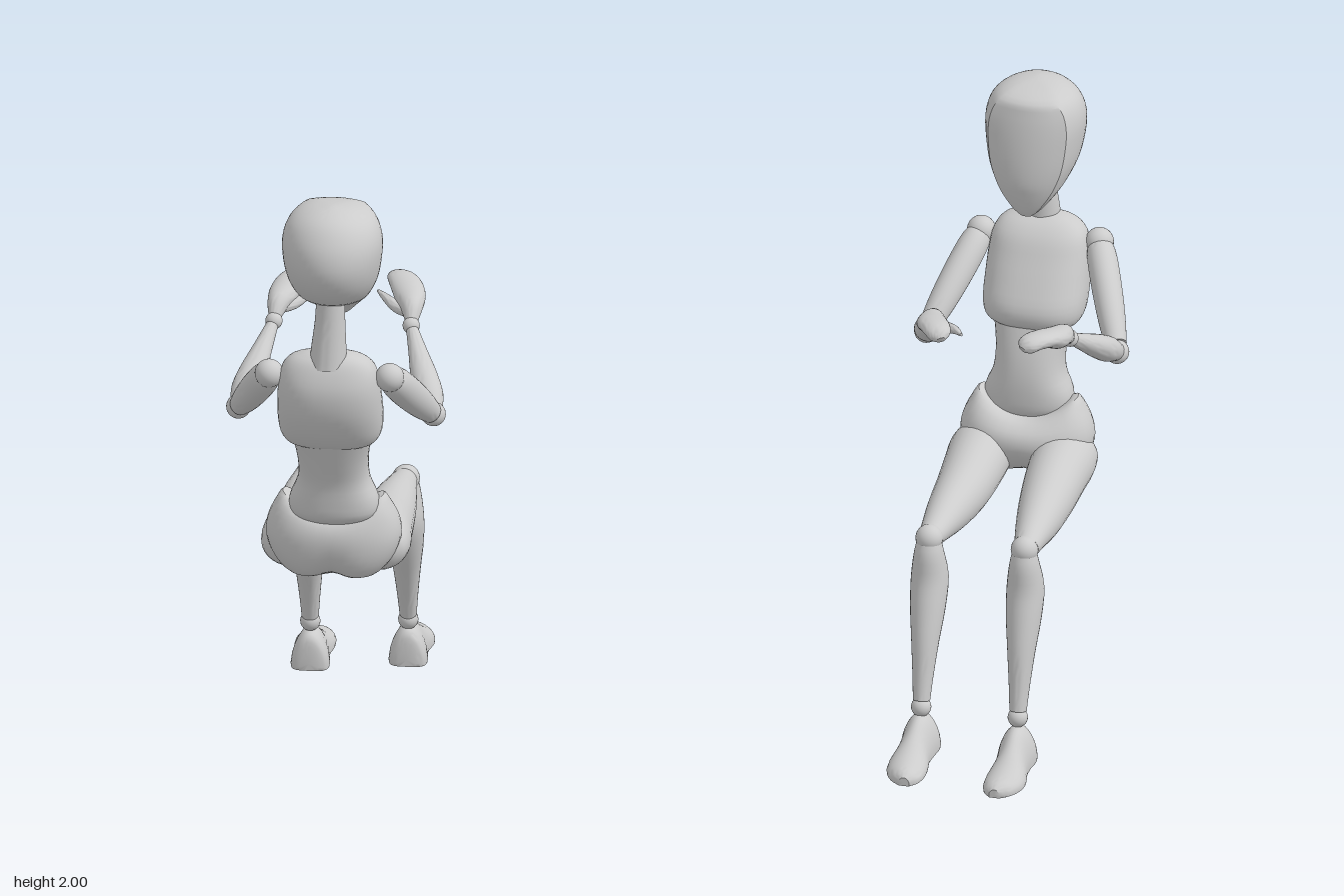
import * as THREE from 'three';
import { mergeVertices, toCreasedNormals } from 'three/addons/utils/BufferGeometryUtils.js';

const V = (x, y, z) => new THREE.Vector3(x, y, z);
const material = new THREE.MeshStandardMaterial({ color: 0xcccccc });
const SIDES = 28;

// Smooth closed skin through a list of rings; each column follows a spline
function skin(name, rings, crease = 0.75, steps = 3) {
  const n = rings[0].length;
  const rows = (rings.length - 1) * steps;
  const columns = [];
  for (let j = 0; j < n; j++) {
    const curve = new THREE.CatmullRomCurve3(rings.map((r) => r[j]), false, 'centripetal');
    columns.push(curve.getPoints(rows));
  }
  const pos = [];
  const index = [];
  for (let i = 0; i <= rows; i++) for (let j = 0; j < n; j++) pos.push(...columns[j][i].toArray());
  for (let i = 0; i < rows; i++) {
    for (let j = 0; j < n; j++) {
      const a = i * n + j, b = i * n + (j + 1) % n;
      index.push(a, b, b + n, a, b + n, a + n);
    }
  }
  // End caps
  for (const row of [0, rows]) {
    const mid = V(0, 0, 0);
    columns.forEach((c) => mid.addScaledVector(c[row], 1 / n));
    const m = pos.length / 3;
    pos.push(...mid.toArray());
    for (let j = 0; j < n; j++) {
      const a = row * n + j, b = row * n + (j + 1) % n;
      if (row === 0) index.push(m, b, a);
      else index.push(m, a, b);
    }
  }
  const geo = new THREE.BufferGeometry();
  geo.setAttribute('position', new THREE.Float32BufferAttribute(pos, 3));
  geo.setIndex(index);
  const mesh = new THREE.Mesh(toCreasedNormals(mergeVertices(geo, 1e-5), crease), material);
  mesh.name = name;
  return mesh;
}

// Rounded limb: points are [x, y, z, radius across, radius in depth]
function limb(name, pts) {
  const p = pts.map((q) => V(q[0], q[1], q[2]));
  const rings = pts.map((q, i) => {
    const t = p[Math.min(i + 1, p.length - 1)].clone().sub(p[Math.max(i - 1, 0)]).normalize();
    const a = V(1, 0, 0).addScaledVector(t, -t.x).normalize();
    const b = t.clone().cross(a);
    return Array.from({ length: SIDES }, (_, j) => {
      const u = (j / SIDES) * Math.PI * 2;
      return p[i].clone().addScaledVector(a, q[3] * Math.cos(u)).addScaledVector(b, q[4] * Math.sin(u));
    });
  });
  return skin(name, rings);
}

// Limb between two joints: profile is [t, radius across, radius in depth]
const bone = (name, A, B, profile) => limb(name, profile.map(([t, ra, rb]) =>
  [...A.clone().lerp(B, t).toArray(), ra, rb]));

// Body block from level slices: [y, back z, front z, half width]
function slices(name, list, { power = 2, cx = 0, warp } = {}) {
  const bend = (c) => Math.sign(c) * Math.pow(Math.abs(c), 2 / power);
  return skin(name, list.map(([y, zb, zf, w]) => Array.from({ length: 40 }, (_, j) => {
    const u = (j / 40) * Math.PI * 2;
    const v = V(cx + w * bend(Math.sin(u)), y, (zb + zf) / 2 + ((zb - zf) / 2) * bend(Math.cos(u)));
    if (warp) warp(v);
    return v;
  })));
}

function ball(name, c, r) {
  const mesh = new THREE.Mesh(new THREE.SphereGeometry(r, 24, 16), material);
  mesh.name = name;
  mesh.position.copy(c);
  return mesh;
}

// Head: round cranium with a flat, sharply edged face plate
function head() {
  const list = [
    [1.565, 0.41, 0.385, 0.018], [1.585, 0.45, 0.375, 0.045], [1.615, 0.49, 0.366, 0.072],
    [1.65, 0.55, 0.358, 0.1], [1.685, 0.63, 0.352, 0.122], [1.74, 0.685, 0.353, 0.146],
    [1.81, 0.713, 0.361, 0.16], [1.88, 0.706, 0.373, 0.163], [1.935, 0.677, 0.386, 0.147],
    [1.968, 0.645, 0.398, 0.118], [1.99, 0.6, 0.46, 0.07], [2.0, 0.56, 0.53, 0.012],
  ];
  return skin('head', list.map(([y, zb, zf, w]) => {
    const ring = [];
    const depth = zb - zf, mid = zf + depth * 0.45, corner = zf + depth * 0.1;
    const fw = w * 0.8;
    for (let j = 0; j <= 28; j++) {
      const u = -Math.PI * 0.5 + (j / 28) * Math.PI;
      ring.push(V(0.013 + w * Math.sin(u), y, mid + (zb - mid) * Math.cos(u)));
    }
    for (let j = 1; j <= 4; j++) { // cheek
      const k = j / 4;
      ring.push(V(0.013 + w + (fw - w) * k * k, y, mid + (corner - mid) * k));
    }
    for (let j = 1; j < 8; j++) { // face plate
      const f = 1 - j / 4;
      ring.push(V(0.013 + fw * f, y, zf + (corner - zf) * f * f));
    }
    for (let j = 4; j >= 1; j--) {
      const k = j / 4;
      ring.push(V(0.013 - w - (fw - w) * k * k, y, mid + (corner - mid) * k));
    }
    return ring;
  }), 0.6);
}

// Foot: domed sections over a flat sole, [z offset from ankle, height, half width, x shift]
function foot(s, ankle, ground) {
  const list = [
    [0.045, 0.05, 0.03, 0], [0.035, 0.1, 0.055, 0], [0, 0.118, 0.064, 0], [-0.05, 0.115, 0.058, 0],
    [-0.1, 0.09, 0.056, 0.002], [-0.16, 0.058, 0.066, 0.003], [-0.21, 0.04, 0.062, 0],
    [-0.25, 0.03, 0.044, -0.006], [-0.272, 0.018, 0.018, -0.01],
  ];
  return skin('foot', list.map(([dz, h, w, dx]) => Array.from({ length: SIDES }, (_, j) => {
    const u = (j / SIDES) * Math.PI * 2, c = Math.cos(u);
    return V(ankle.x + s * dx + w * Math.sin(u) * (c > 0 ? 1 - 0.25 * c : 1), ground + h * Math.max(0, c) ** 0.8
      + (c > 0 ? 0.012 : 0.012 * (1 + Math.max(-1, c * 4))), ankle.z + dz);
  })), 0.7);
}

function leg(s, knee, ankle, ground) {
  const g = new THREE.Group();
  g.name = s > 0 ? 'leftLeg' : 'rightLeg';
  g.add(limb('thigh', [
    [0.15, 0.735, 0.4, 0.04, 0.03], [0.148, 0.735, 0.375, 0.083, 0.068], [0.14, 0.735, 0.3, 0.104, 0.096],
    [0.138, 0.728, 0.2, 0.1, 0.102], [0.142, 0.714, 0.05, 0.088, 0.093], [0.15, 0.714, -0.1, 0.071, 0.076],
    [0.156, 0.717, -0.22, 0.052, 0.052], [0.16, 0.717, -0.29, 0.04, 0.038],
  ].map(([x, ...r]) => [s * x, ...r])));
  g.add(ball('knee', knee, 0.045));
  // Calf bulges backwards from the knee to ankle line
  g.add(limb('shin', [
    [0, 0.038, 0.038, 0], [0.08, 0.048, 0.05, 0.005], [0.25, 0.061, 0.068, 0.035], [0.42, 0.058, 0.066, 0.028],
    [0.62, 0.045, 0.054, 0.012], [0.82, 0.034, 0.038, 0.004], [0.96, 0.028, 0.03, 0],
  ].map(([t, ra, rb, dz]) => {
    const p = knee.clone().lerp(ankle, t);
    return [p.x, p.y, p.z + dz, ra, rb];
  })));
  g.add(ball('ankle', ankle, 0.033), foot(s, ankle, ground));
  return g;
}

function arm(s, shoulder, elbow, wrist, tip) {
  const g = new THREE.Group();
  g.name = s > 0 ? 'leftArm' : 'rightArm';
  g.add(ball('shoulder', shoulder, 0.047), ball('elbow', elbow, 0.04), ball('wrist', wrist, 0.028));
  g.add(bone('upperArm', shoulder, elbow,
    [[0, 0.036, 0.036], [0.1, 0.047, 0.05], [0.35, 0.05, 0.056], [0.7, 0.045, 0.05], [0.93, 0.036, 0.038]]));
  g.add(bone('forearm', elbow, wrist,
    [[0.04, 0.034, 0.032], [0.2, 0.047, 0.042], [0.4, 0.045, 0.04], [0.7, 0.031, 0.029], [0.95, 0.02, 0.02]]));
  // Mitten hand, arched over the fingers
  g.add(limb('hand', [
    [0, 0, 0.016, 0.018], [0.2, 0.022, 0.034, 0.034], [0.45, 0.02, 0.05, 0.036], [0.65, 0.024, 0.052, 0.03],
    [0.85, 0.018, 0.045, 0.026], [0.97, 0.003, 0.034, 0.022], [1.02, -0.008, 0.016, 0.012],
  ].map(([t, dy, ra, rb]) => {
    const p = wrist.clone().lerp(tip, t);
    return [p.x + s * 0.02 * Math.sin(t * Math.PI), p.y + dy, p.z, ra, rb];
  })));
  g.add(limb('thumb', [[-0.012, 0.025, -0.04, 0.014, 0.016], [-0.055, 0.03, -0.08, 0.02, 0.018],
    [-0.095, 0.045, -0.12, 0.014, 0.013], [-0.125, 0.052, -0.16, 0.005, 0.005],
  ].map(([x, y, z, a, b]) => [wrist.x + s * x, wrist.y + y, wrist.z + z, a, b])));
  return g;
}

export function createModel() {
  const model = new THREE.Group();
  model.name = 'seatedMannequin';
  model.add(head());
  model.add(limb('neck', [[0.005, 1.45, 0.58, 0.062, 0.06], [0.007, 1.52, 0.574, 0.057, 0.055],
    [0.01, 1.6, 0.568, 0.05, 0.05], [0.011, 1.68, 0.563, 0.046, 0.048]]));
  model.add(slices('chest', [
    [1.15, 0.55, 0.4, 0.115], [1.158, 0.572, 0.37, 0.142], [1.185, 0.597, 0.345, 0.162],
    [1.23, 0.625, 0.342, 0.17], [1.3, 0.652, 0.375, 0.17], [1.38, 0.658, 0.42, 0.165],
    [1.44, 0.64, 0.455, 0.152], [1.475, 0.62, 0.49, 0.122], [1.495, 0.595, 0.525, 0.07],
  ], { power: 2.5, cx: 0.004 }));
  model.add(slices('waist', [
    [0.85, 0.47, 0.33, 0.11], [0.88, 0.497, 0.312, 0.143], [0.93, 0.505, 0.308, 0.145],
    [1.0, 0.513, 0.312, 0.118], [1.08, 0.542, 0.33, 0.115], [1.19, 0.585, 0.37, 0.135],
  ], { power: 2.3, cx: 0.006 }));
  // Pelvis: top rim dips at the middle, with a shallow cleft at the back
  model.add(slices('pelvis', [
    [0.642, 0.42, 0.36, 0.07], [0.662, 0.465, 0.31, 0.14], [0.71, 0.492, 0.255, 0.19],
    [0.78, 0.502, 0.222, 0.22], [0.84, 0.495, 0.23, 0.215], [0.9, 0.475, 0.265, 0.188],
    [0.932, 0.45, 0.295, 0.165], [0.937, 0.42, 0.32, 0.13],
  ], {
    power: 2.3,
    warp: (v) => {
      const high = Math.max(0, (v.y - 0.78) / 0.155), low = Math.max(0, (0.8 - v.y) / 0.15);
      const middle = Math.exp(-((v.x / 0.05) ** 2));
      v.y -= 0.07 * high * high * Math.max(0, 1 - (v.x / 0.16) ** 2);
      v.y += 0.02 * low * middle;
      if (v.z > 0.4) v.z -= 0.018 * low * middle;
    },
  }));
  model.add(leg(1, V(0.163, 0.717, -0.297), V(0.155, 0.168, -0.435), 0.018));
  model.add(leg(-1, V(-0.155, 0.714, -0.293), V(-0.162, 0.158, -0.41), 0));
  model.add(arm(1, V(0.203, 1.408, 0.548), V(0.314, 1.17, 0.26), V(0.21, 1.362, -0.022), V(0.135, 1.438, -0.26)));
  model.add(arm(-1, V(-0.19, 1.41, 0.558), V(-0.322, 1.172, 0.268), V(-0.238, 1.36, -0.02), V(-0.145, 1.438, -0.26)));
  return model;
}
